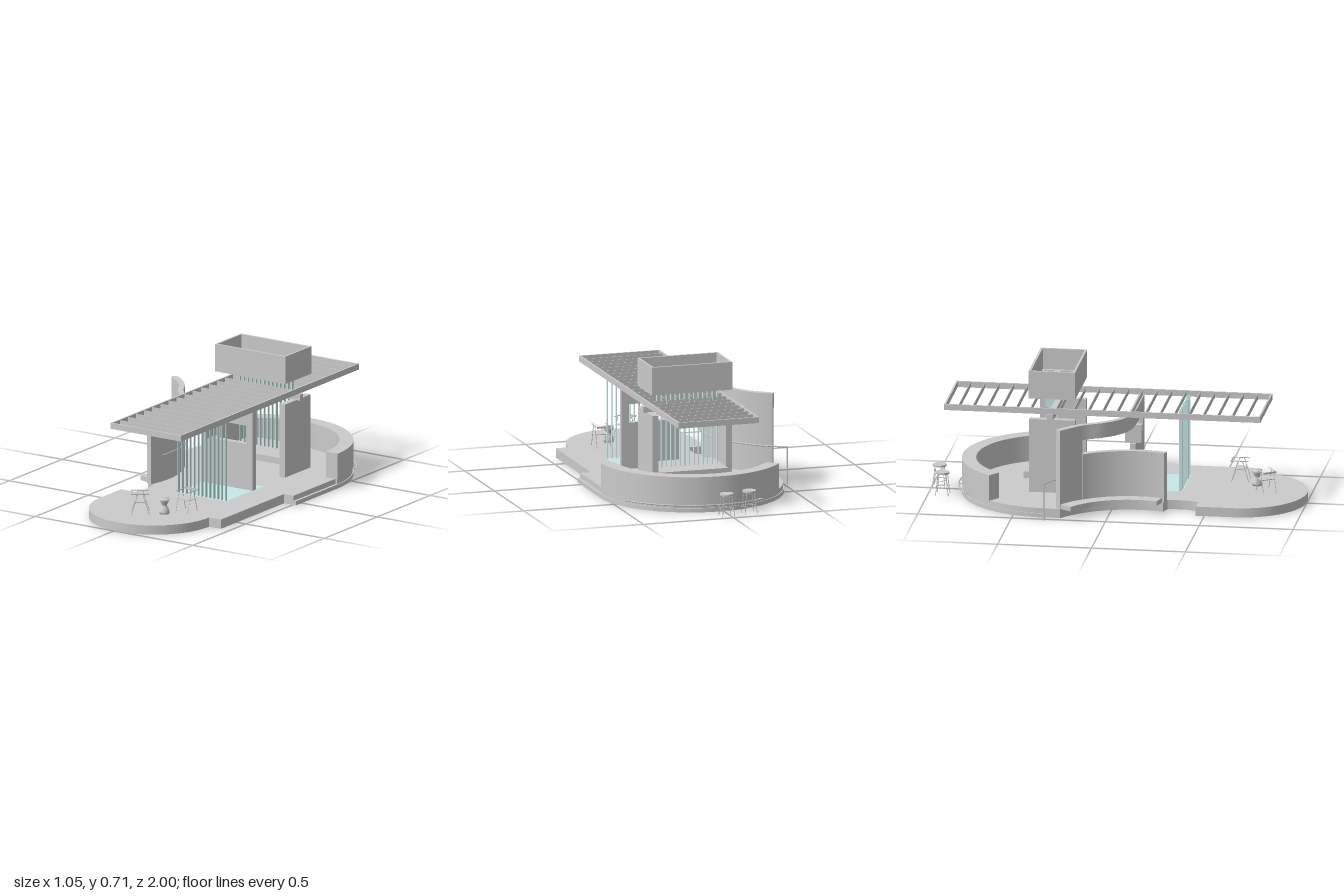
import * as THREE from 'three';

const grey = new THREE.MeshStandardMaterial({ color: 0xcccccc });
const thin = new THREE.MeshStandardMaterial({ color: 0xcccccc, side: THREE.DoubleSide });
const teal = new THREE.MeshStandardMaterial({ color: 0xc6e8e8 });

function add(parent, name, geo, mat = grey) {
  const m = new THREE.Mesh(geo, mat);
  m.name = name;
  parent.add(m);
  return m;
}

// Box given by its extents
function box(parent, name, x0, x1, y0, y1, z0, z1, mat) {
  const g = new THREE.BoxGeometry(x1 - x0, y1 - y0, z1 - z0);
  g.translate((x0 + x1) / 2, (y0 + y1) / 2, (z0 + z1) / 2);
  return add(parent, name, g, mat);
}

// Plan outline (x, z) raised from y0 to y1
function slab(parent, name, shape, y0, y1) {
  const g = new THREE.ExtrudeGeometry(shape, { depth: y1 - y0, bevelEnabled: false, curveSegments: 48 });
  g.rotateX(Math.PI / 2);
  g.translate(0, y1, 0);
  return add(parent, name, g);
}

// Thin upright band following a closed plan outline
function skirt(parent, name, shape, y0, y1) {
  const pts = shape.getPoints(48), pos = [], idx = [];
  pts.push(pts[0]);
  pts.forEach((p, i) => {
    pos.push(p.x, y0, p.y, p.x, y1, p.y);
    if (i) idx.push(2 * i - 2, 2 * i - 1, 2 * i, 2 * i, 2 * i - 1, 2 * i + 1);
  });
  const g = new THREE.BufferGeometry();
  g.setAttribute('position', new THREE.Float32BufferAttribute(pos, 3));
  g.setIndex(idx);
  const flat = g.toNonIndexed();
  flat.computeVertexNormals();
  return add(parent, name, flat, thin);
}

function arcBand(parent, name, c, r0, r1, a0, a1, y0, y1) {
  const s = new THREE.Shape();
  s.absarc(c[0], c[1], r1, a0, a1, false);
  s.absarc(c[0], c[1], r0, a1, a0, true);
  return slab(parent, name, s, y0, y1);
}

function rod(parent, name, a, b, r) {
  const p = new THREE.Vector3(...a), q = new THREE.Vector3(...b);
  return add(parent, name, new THREE.TubeGeometry(new THREE.LineCurve3(p, q), 1, r, 6));
}

function arcRail(parent, name, c, r, a0, a1, y, t) {
  const pts = [];
  for (let i = 0; i <= 24; i++) {
    const a = a0 + (a1 - a0) * i / 24;
    pts.push(new THREE.Vector3(c[0] + r * Math.cos(a), y, c[1] + r * Math.sin(a)));
  }
  return add(parent, name, new THREE.TubeGeometry(new THREE.CatmullRomCurve3(pts), 64, t, 6));
}

// Open A-frame chair with a sling seat
function chair(parent, x, z, turn) {
  const g = new THREE.Group();
  g.name = 'chair';
  for (const s of [-0.037, 0.037]) {
    rod(g, 'chairLeg', [s, 0, 0.047], [s, 0.115, 0.012], 0.002);
    rod(g, 'chairLeg', [s, 0, -0.047], [s, 0.115, -0.012], 0.002);
    rod(g, 'armRest', [s, 0.115, -0.048], [s, 0.115, 0.045], 0.0025);
    rod(g, 'sideRail', [s, 0.07, -0.03], [s, 0.07, 0.03], 0.002);
  }
  box(g, 'chairSeat', -0.037, 0.037, 0.068, 0.072, -0.028, 0.028);
  box(g, 'chairBack', -0.037, 0.037, 0.108, 0.118, -0.05, -0.046);
  g.position.set(x, 0.05, z);
  g.rotation.y = turn;
  parent.add(g);
}

function stool(parent, x, z) {
  const g = new THREE.Group();
  g.name = 'barStool';
  add(g, 'stoolSeat', new THREE.CylinderGeometry(0.036, 0.036, 0.01, 24)).position.y = 0.12;
  for (let i = 0; i < 4; i++) {
    const a = Math.PI / 4 + i * Math.PI / 2, c = Math.cos(a), s = Math.sin(a);
    rod(g, 'stoolLeg', [c * 0.03, 0.116, s * 0.03], [c * 0.048, 0, s * 0.048], 0.002);
  }
  const ring = new THREE.TorusGeometry(0.035, 0.002, 6, 24);
  ring.rotateX(Math.PI / 2);
  add(g, 'stoolFootRing', ring).position.y = 0.04;
  g.position.set(x, 0, z);
  parent.add(g);
}

export function createModel() {
  const root = new THREE.Group();
  root.name = 'pavilion';
  const back = [0.025, -0.34], cove = [-0.72, 0.15];

  // Hollow floor: top plate and skirt, with an opening for the glass panel
  const floor = new THREE.Shape();
  floor.moveTo(-0.32, 0.655);
  floor.absarc(0.025, 0.655, 0.345, Math.PI, 0, true);
  floor.lineTo(0.445, 0.65);
  floor.lineTo(0.445, -0.34);
  floor.absarc(back[0], back[1], 0.49, 0, -Math.PI, true);
  floor.absarc(cove[0], cove[1], 0.467, -1.006, 0.27, false);
  floor.lineTo(-0.22, 0.29);
  floor.quadraticCurveTo(-0.2, 0.38, -0.235, 0.455);
  floor.lineTo(-0.32, 0.455);
  skirt(root, 'floorSkirt', floor, 0, 0.048);
  const hole = new THREE.Path();
  hole.moveTo(-0.045, -0.01);
  hole.lineTo(0.27, -0.01);
  hole.lineTo(0.27, 0.345);
  hole.lineTo(-0.045, 0.345);
  hole.closePath();
  floor.holes.push(hole);
  slab(root, 'floor', floor, 0.046, 0.05);
  box(root, 'glassFloor', -0.045, 0.27, 0.044, 0.05, -0.01, 0.345, teal);

  // Side steps and curved rear base
  box(root, 'lowerStep', 0.445, 0.52, 0, 0.022, -0.34, 0.055);
  box(root, 'upperStep', 0.445, 0.505, 0.022, 0.05, -0.34, 0.055);
  arcBand(root, 'rearBase', back, 0.488, 0.495, -Math.PI, 0, 0, 0.022);

  // Rear counter wall with its foot rail
  arcBand(root, 'rearWall', back, 0.42, 0.495, -2.494, 0, 0.05, 0.19);
  arcRail(root, 'footRail', back, 0.512, -2.1, -0.53, 0.04, 0.004);
  for (let i = 0; i < 5; i++) {
    const a = -2.08 + i * 0.383, c = Math.cos(a), s = Math.sin(a);
    rod(root, 'footRailBracket', [back[0] + c * 0.475, 0.04, back[1] + s * 0.475],
      [back[0] + c * 0.512, 0.04, back[1] + s * 0.512], 0.003);
  }

  // Concave side wall: full-height end, low part, outer step and handrail
  arcBand(root, 'tallWall', cove, 0.467, 0.498, -1.006, -0.675, 0.05, 0.48);
  arcBand(root, 'lowWall', cove, 0.465, 0.498, -0.675, 0.285, 0.05, 0.322);
  arcBand(root, 'outerStep', cove, 0.396, 0.48, -1.0, 0.255, 0.05, 0.075);
  arcRail(root, 'handrail', cove, 0.513, -1.178, 0.16, 0.2, 0.004);
  rod(root, 'handrailPost', [-0.52, 0.2, -0.324], [-0.52, 0, -0.324], 0.004);

  // S-shaped beam running into the straight front wall
  const spine = new THREE.CatmullRomCurve3([[-0.462, -0.2575], [-0.343, -0.152], [-0.2795, -0.047],
    [-0.205, 0.03], [-0.12, 0.069], [0, 0.08], [0.12, 0.08], [0.27, 0.08]]
    .map(p => new THREE.Vector3(p[0], 0, p[1])));
  const sideA = [], sideB = [];
  for (let i = 0; i <= 48; i++) {
    const p = spine.getPoint(i / 48), t = spine.getTangent(i / 48);
    sideA.push(new THREE.Vector2(p.x - t.z * 0.015, p.z + t.x * 0.015));
    sideB.unshift(new THREE.Vector2(p.x + t.z * 0.015, p.z - t.x * 0.015));
  }
  slab(root, 'curvedBeam', new THREE.Shape([...sideA, ...sideB]), 0.4, 0.48);
  box(root, 'frontWall', -0.045, 0.23, 0.01, 0.3, 0.065, 0.095);
  box(root, 'frontColumn', 0.23, 0.272, 0.01, 0.48, 0.065, 0.095);
  box(root, 'shortPost', -0.028, 0.002, 0.3, 0.4, 0.035, 0.125);

  // Rear piers, bench and cross beam
  box(root, 'leftPier', -0.17, -0.137, 0.05, 0.45, -0.455, -0.21);
  box(root, 'rightPier', 0.237, 0.272, 0.05, 0.45, -0.455, -0.21);
  box(root, 'bench', -0.137, 0.237, 0.115, 0.15, -0.49, -0.22);
  box(root, 'crossBeam', -0.185, 0.29, 0.447, 0.48, -0.357, -0.325);

  // Thin tinted fins
  for (let i = 0; i < 13; i++) {
    const x = -0.037 + i * 0.025;
    box(root, 'frontFin', x - 0.0015, x + 0.0015, 0.005, 0.485, 0.324, 0.341, teal);
  }
  for (let i = 0; i < 14; i++) {
    const x = -0.114 + i * 0.0255;
    box(root, 'rearFin', x - 0.0015, x + 0.0015, 0.15, 0.58, -0.374, -0.357, teal);
  }

  // Pergola frame and blades
  const x0 = -0.172, x1 = 0.275, z0 = -0.907, z1 = 0.777;
  for (const x of [x0, x1 - 0.009]) box(root, 'pergolaSide', x, x + 0.009, 0.48, 0.512, z0, z1);
  for (const z of [z0, z1 - 0.009]) box(root, 'pergolaEnd', x0, x1, 0.48, 0.512, z, z + 0.009);
  for (let i = 1; i < 22; i++) {
    const z = z0 + (z1 - z0) * i / 22;
    box(root, 'pergolaBlade', x0 + 0.009, x1 - 0.009, 0.482, 0.51, z - 0.0015, z + 0.0015);
  }

  // Open roof lantern with an inner ledge and a middle rib
  for (const [name, t, y0, y1, d] of [['lanternWall', 0.012, 0.563, 0.713, 0], ['lanternLedge', 0.014, 0.565, 0.6, 0.012]]) {
    const xa = x0 + d, xb = x1 - d, za = -0.457 + d, zb = -0.21 - d;
    box(root, name, xa, xb, y0, y1, zb - t, zb);
    box(root, name, xa, xb, y0, y1, za, za + t);
    box(root, name, xa, xa + t, y0, y1, za + t, zb - t);
    box(root, name, xb - t, xb, y0, y1, za + t, zb - t);
  }
  box(root, 'lanternRib', x0 + 0.026, x1 - 0.026, 0.565, 0.6, -0.38, -0.345);

  // Furniture
  chair(root, 0.205, 0.62, 0);
  chair(root, 0.02, 0.78, 2.15);
  const profile = [[0, 0], [0.026, 0], [0.027, 0.012], [0.021, 0.03], [0.013, 0.042], [0.014, 0.05],
    [0.024, 0.068], [0.028, 0.083], [0, 0.083]].map(p => new THREE.Vector2(...p));
  add(root, 'sideTable', new THREE.LatheGeometry(profile, 28)).position.set(0.13, 0.05, 0.717);
  stool(root, -0.112, -0.923);
  stool(root, 0.025, -0.96);
  return root;
}
